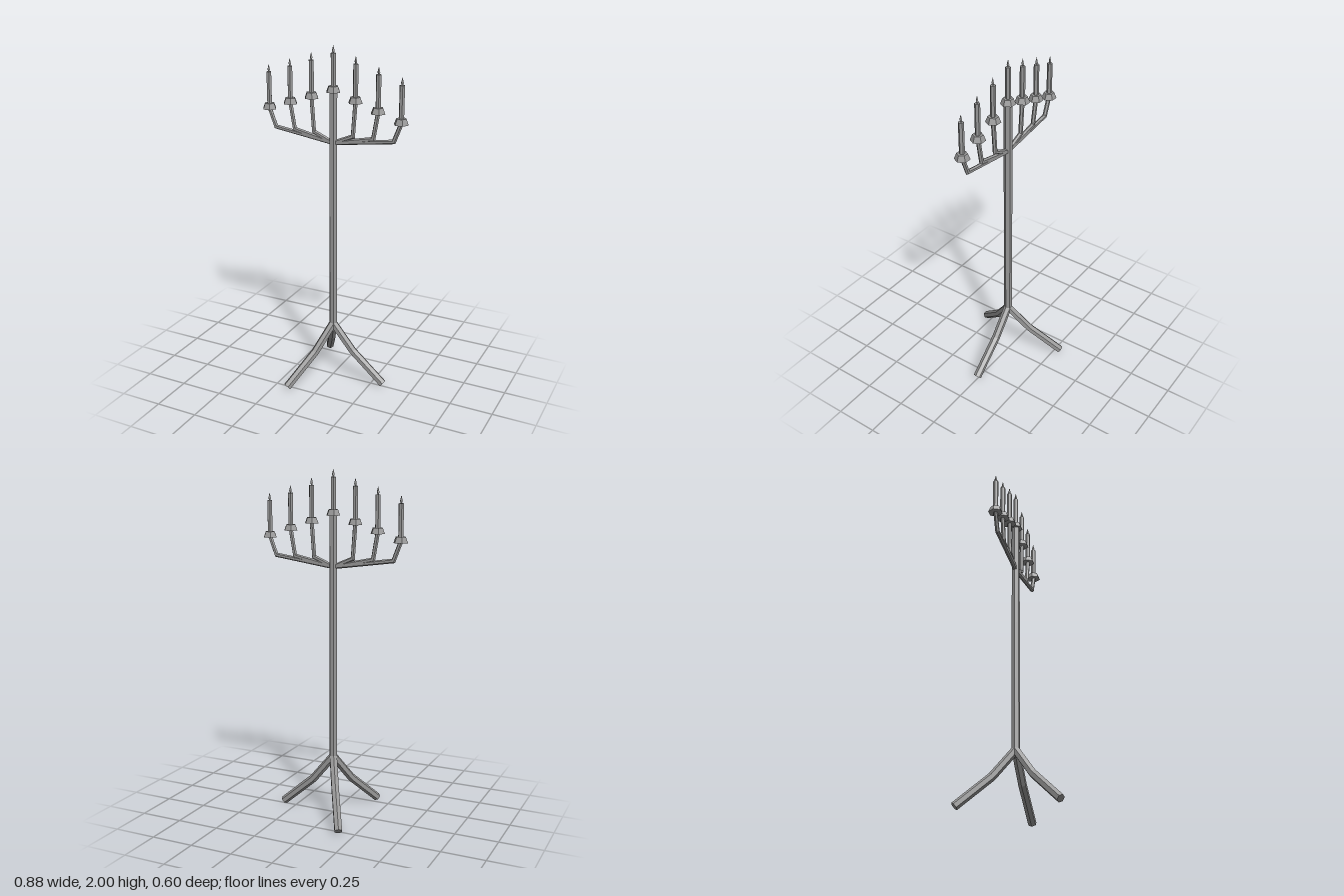
import * as THREE from 'three';

const metal = new THREE.MeshStandardMaterial({ color: 0x999999, flatShading: true });
metal.name = 'grey metal';

function add(parent, name, geometry, y = 0) {
  const mesh = new THREE.Mesh(geometry, metal);
  mesh.name = name;
  mesh.position.y = y;
  parent.add(mesh);
  return mesh;
}

// Upright prism with corners on the x axis for six sides
function prism(top, bottom, height, sides = 6) {
  const start = sides === 6 ? Math.PI / 6 : 0;
  return new THREE.CylinderGeometry(top, bottom, height, sides, 1, false, start);
}

// Mitred six-sided bar along a bent path in the xy plane, ridge upwards
function bentBar(path, radius) {
  const sides = 6;
  const points = path.map(([x, y]) => new THREE.Vector2(x, y));
  const normals = points.slice(1).map((p, i) => {
    const d = p.clone().sub(points[i]).normalize();
    return new THREE.Vector2(-d.y, d.x);
  });
  const positions = [];
  const index = [];
  points.forEach((p, i) => {
    const a = normals[Math.max(i - 1, 0)];
    const b = normals[Math.min(i, normals.length - 1)];
    const n = a.clone().add(b).normalize();
    n.divideScalar(n.dot(a));
    for (let k = 0; k < sides; k++) {
      const t = (k / sides) * Math.PI * 2;
      const c = Math.cos(t) * radius;
      positions.push(p.x + n.x * c, p.y + n.y * c, Math.sin(t) * radius);
    }
  });
  for (let i = 0; i < points.length - 1; i++) {
    for (let k = 0; k < sides; k++) {
      const a = i * sides + k;
      const b = i * sides + ((k + 1) % sides);
      index.push(a, b, a + sides, b, b + sides, a + sides);
    }
  }
  // End caps
  const last = (points.length - 1) * sides;
  for (let k = 1; k < sides - 1; k++) {
    index.push(0, k + 1, k, last, last + k, last + k + 1);
  }
  const g = new THREE.BufferGeometry();
  g.setAttribute('position', new THREE.Float32BufferAttribute(positions, 3));
  g.setIndex(index);
  const flat = g.toNonIndexed();
  flat.computeVertexNormals();
  return flat;
}

// Drip cup, candle and flame, standing on the cup's underside
function makeCandle(x, y) {
  const g = new THREE.Group();
  g.name = 'candleHolder';
  g.position.set(x, y, 0);
  add(g, 'cup', prism(0.029, 0.042, 0.033), 0.0165);
  add(g, 'candle', prism(0.015, 0.015, 0.182), 0.119);
  add(g, 'flameBase', prism(0.008, 0.003, 0.014, 4), 0.216);
  add(g, 'flameTip', prism(0, 0.008, 0.03, 4), 0.238);
  return g;
}

export function createModel() {
  const model = new THREE.Group();
  model.name = 'candelabrum';

  add(model, 'pole', prism(0.024, 0.024, 1.41), 1.055);

  // Three bent legs
  for (let i = 0; i < 3; i++) {
    const leg = add(model, 'leg', bentBar([[0, 0.35], [0.13, 0.192], [0.327, 0.021]], 0.024));
    leg.rotation.y = (i * Math.PI * 2) / 3;
  }

  // Arms and candles, mirrored about the pole
  model.add(makeCandle(0, 1.747));
  const arms = [
    [0.133, 1.7, 0.119],
    [0.266, 1.656, 0.24],
    [0.4, 1.612, 0.36],
  ];
  for (const [x, y, knee] of arms) {
    const path = [[0, 1.462], [knee, 1.513], [x, y + 0.005]];
    for (const side of [1, -1]) {
      const arm = add(model, side > 0 ? 'leftArm' : 'rightArm', bentBar(path, 0.0125));
      if (side < 0) arm.rotation.y = Math.PI;
      model.add(makeCandle(side * x, y));
    }
  }
  return model;
}
